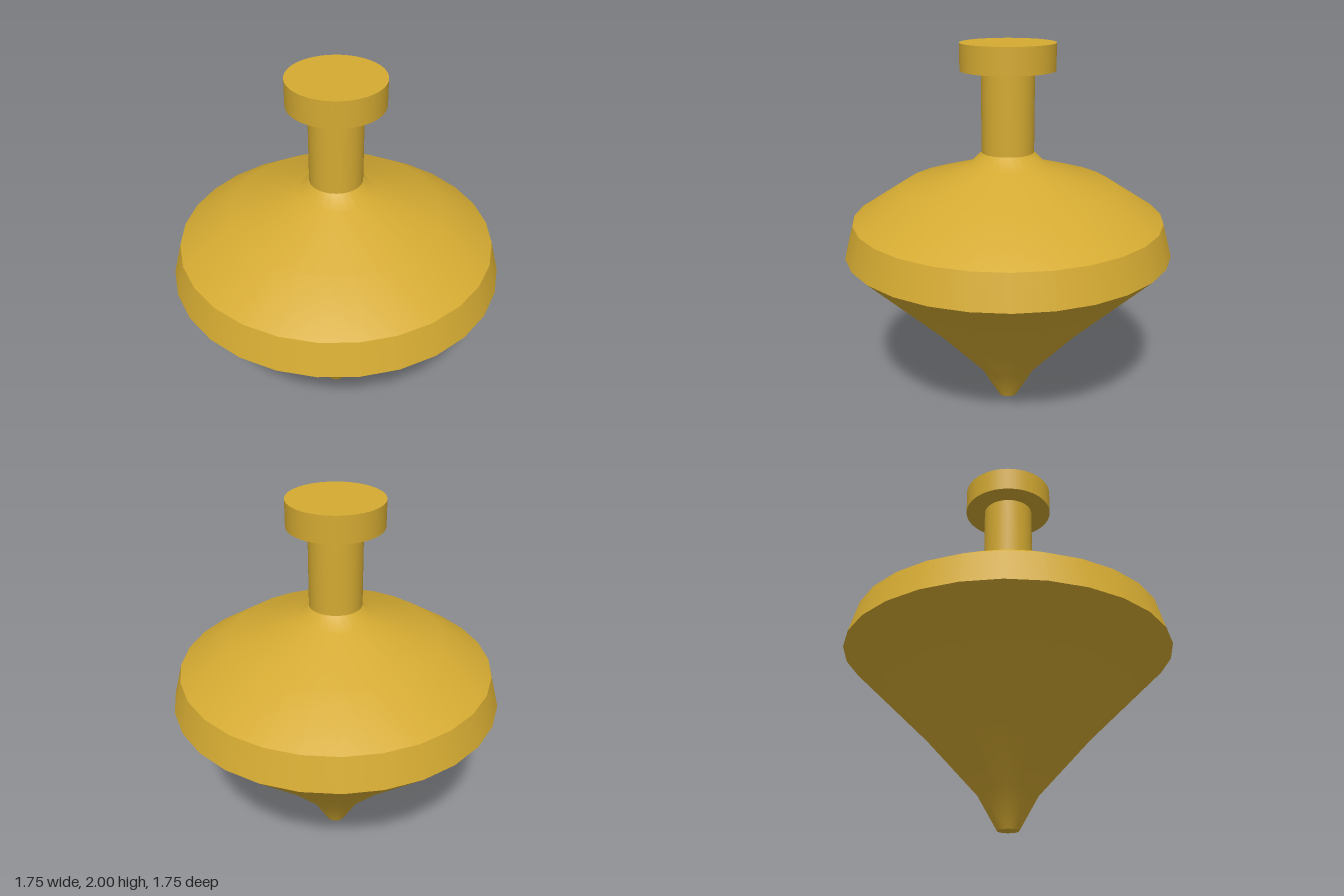
import * as THREE from 'three';

export function createModel() {
  const group = new THREE.Group();
  group.name = 'spinningTop';
  const gold = new THREE.MeshStandardMaterial({ color: 0xd4aa32 });
  gold.name = 'gold';

  const add = (name, geometry, y = 0) => {
    const mesh = new THREE.Mesh(geometry, gold);
    mesh.name = name;
    mesh.position.y = y;
    group.add(mesh);
  };
  // Each lathe is smooth inside; separate lathes meet in sharp edges
  const turned = (name, profile) => add(name,
    new THREE.LatheGeometry(profile.map(([r, y]) => new THREE.Vector2(r, y)), 28));

  // Body: flat tip, tapering cone, bevelled rim and domed shoulder
  turned('tip', [[0, 0], [0.055, 0]]);
  turned('lowerCone', [[0.055, 0], [0.157, 0.18], [0.445, 0.495], [0.875, 0.915]]);
  turned('rim', [[0.875, 0.915], [0.827, 1.09]]);
  turned('shoulder', [[0.827, 1.09], [0.56, 1.263], [0.207, 1.37], [0.138, 1.44]]);

  // Handle: stem and round knob
  add('stem', new THREE.CylinderGeometry(0.138, 0.138, 0.43, 48, 1, true), 1.65);
  add('knob', new THREE.CylinderGeometry(0.246, 0.246, 0.138, 64), 1.931);

  return group;
}
